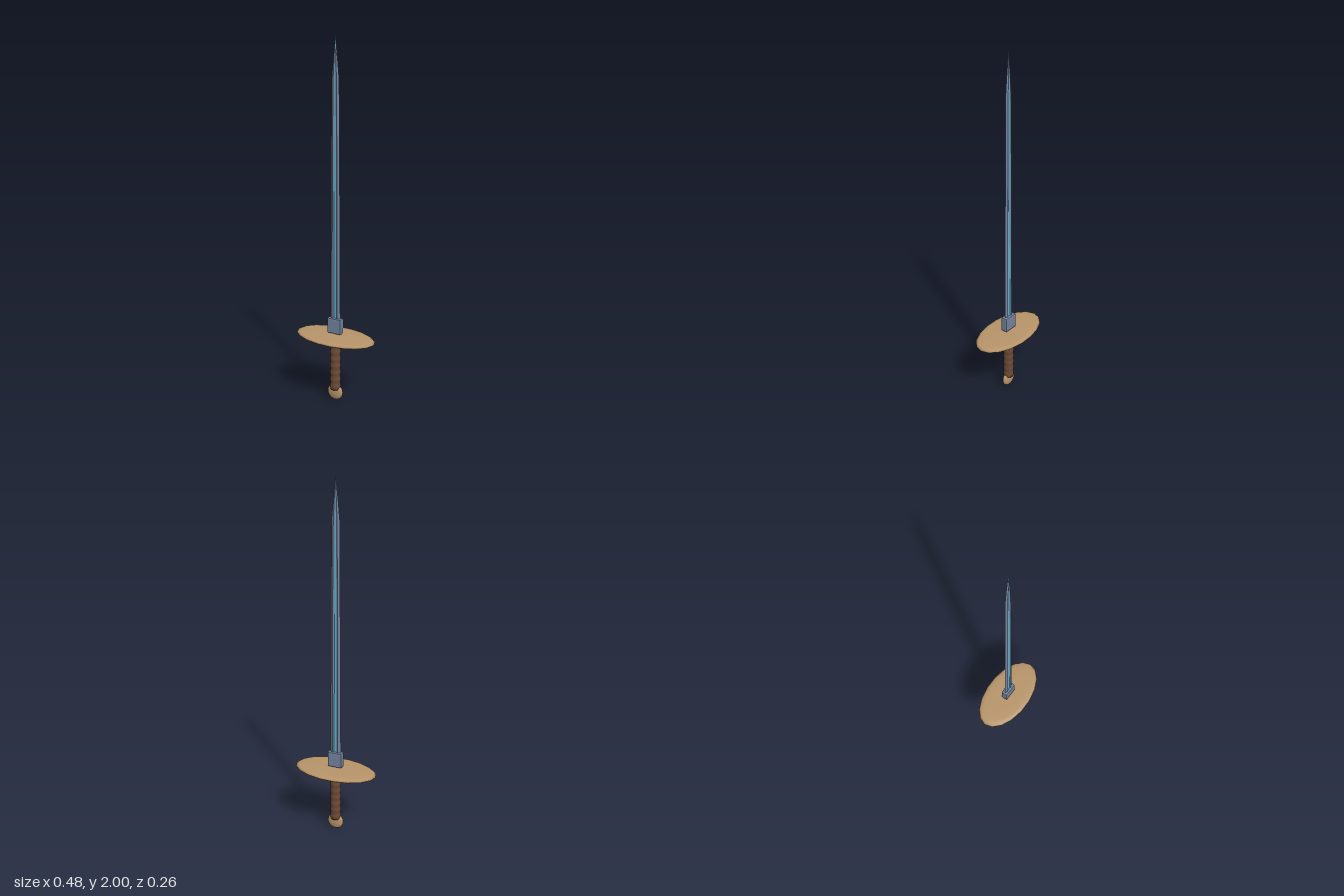
import * as THREE from 'three';
import { RoundedBoxGeometry } from 'three/addons/geometries/RoundedBoxGeometry.js';

const material = (color, extra = {}) => new THREE.MeshStandardMaterial({ color, ...extra });

function addMesh(group, name, geometry, mat) {
  const mesh = new THREE.Mesh(geometry, mat);
  mesh.name = name;
  group.add(mesh);
  return mesh;
}

const lathe = (points, sides, start = 0) =>
  new THREE.LatheGeometry(points.map(([r, y]) => new THREE.Vector2(r, y)), sides, start);

// Blade stations: height, edge half width, ridge x, ridge z, groove half width, groove floor z
const STATIONS = [
  [0.48, 0.031, 0.016, 0.009, 0.008, 0.003],
  [1.4, 0.025, 0.013, 0.0075, 0.005, 0.0028],
  [1.78, 0.022, 0.01, 0.006, 0.003, 0.003],
  [1.87, 0.014, 0.006, 0.005, 0.001, 0.004],
  [2.0, 0.0004, 0.0003, 0.0003, 0.0001, 0.0003],
];

// Skins the chosen sides of the ten-cornered blade section along the stations
function bladeGeometry(useSide) {
  const rings = STATIONS.map(([y, w, rx, rz, gx, gz]) => [
    [w, 0], [rx, rz], [gx, gz], [-gx, gz], [-rx, rz],
    [-w, 0], [-rx, -rz], [-gx, -gz], [gx, -gz], [rx, -rz],
  ].map(([x, z]) => [x, y, z]));
  const positions = [];
  for (let i = 0; i < rings.length - 1; i++) {
    for (let j = 0; j < 10; j++) {
      if (!useSide(j)) continue;
      const k = (j + 1) % 10;
      const a = rings[i][j], b = rings[i][k], c = rings[i + 1][k], d = rings[i + 1][j];
      positions.push(...a, ...d, ...b, ...b, ...d, ...c);
    }
  }
  const geometry = new THREE.BufferGeometry();
  geometry.setAttribute('position', new THREE.Float32BufferAttribute(positions, 3));
  geometry.computeVertexNormals();
  return geometry;
}

export function createModel() {
  const sword = new THREE.Group();
  sword.name = 'sword';
  const steel = material(0x73839e, { flatShading: true });
  const glow = material(0x5cb4cc, { flatShading: true });
  const bronze = material(0xb8956a);
  const leather = material(0x6b4a36);

  // Blade with a coloured groove floor on both faces
  const isGroove = (j) => j === 2 || j === 7;
  addMesh(sword, 'blade', bladeGeometry((j) => !isGroove(j)), steel);
  addMesh(sword, 'bladeGroove', bladeGeometry(isGroove), glow);

  // Collar holding the blade base
  addMesh(sword, 'bladeCollar', new RoundedBoxGeometry(0.084, 0.088, 0.038, 1, 0.006), steel)
    .position.y = 0.449;

  // Oval guard, a thin domed disc with a tapered rim
  const guard = lathe([
    [0, -0.011], [0.5, -0.0108], [0.8, -0.01], [0.94, -0.007], [1, 0],
    [0.94, 0.007], [0.8, 0.01], [0.5, 0.0108], [0, 0.011],
  ], 18, Math.PI / 2).scale(0.238, 1, 0.131);
  addMesh(sword, 'guard', guard, bronze).position.y = 0.382;

  // Grip with raised wrap bands
  const bottom = 0.066, top = 0.357, bands = 7;
  const profile = [[0, bottom], [0.027, bottom]];
  const pitch = (top - bottom) / bands;
  for (let i = 0; i < bands; i++) {
    const y = bottom + i * pitch;
    profile.push([0.0285, y + 0.15 * pitch], [0.031, y + 0.4 * pitch],
      [0.031, y + 0.6 * pitch], [0.0285, y + 0.85 * pitch]);
  }
  profile.push([0.027, top], [0, top]);
  addMesh(sword, 'grip', lathe(profile, 16), leather);

  // Round pommel, flattened front to back
  const pommelProfile = [];
  for (let i = 0; i <= 12; i++) {
    const a = -Math.PI / 2 + (i / 12) * Math.PI;
    const s = Math.sin(a);
    pommelProfile.push([0.047 * Math.max(0, Math.cos(a)), 0.017 * Math.sign(s) * Math.abs(s) ** 0.8]);
  }
  addMesh(sword, 'pommel', lathe(pommelProfile, 20).rotateX(Math.PI / 2), bronze)
    .position.y = 0.047;

  return sword;
}
